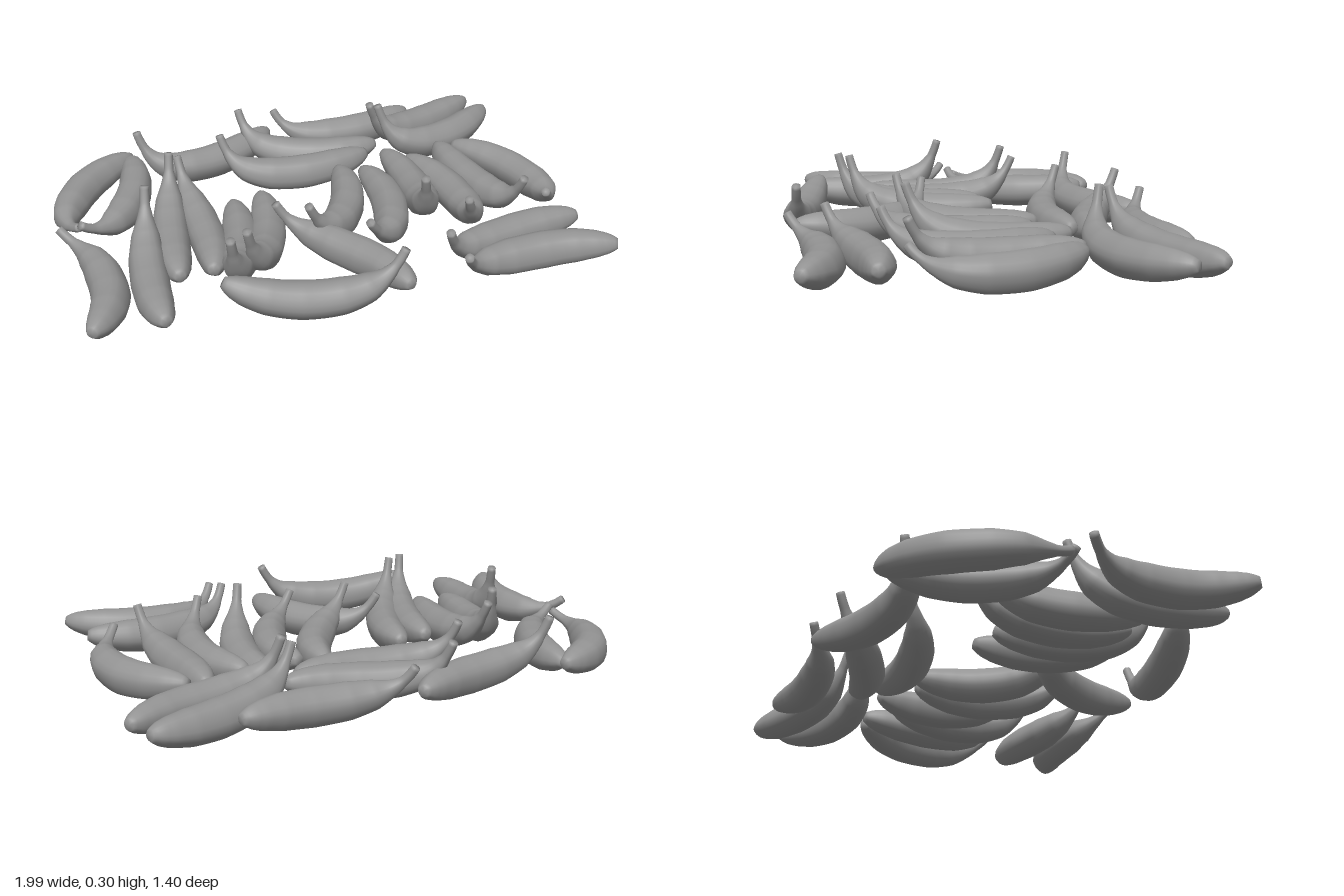
import * as THREE from 'three';
import { mergeVertices } from 'three/addons/utils/BufferGeometryUtils.js';

// One banana per row: stem x, z, stem height, middle x, z, tip x, z, tip height
const clusters = {
  backLeftGroup: [
    [-0.90, -0.09, 0.12, -0.86, -0.40, -0.59, -0.63],
    [-0.90, -0.07, 0.14, -0.68, -0.28, -0.60, -0.61],
    [-0.58, -0.54, 0.25, -0.31, -0.52, 0.01, -0.68],
  ],
  backRightGroup: [
    [0.04, -0.68, 0.19, 0.32, -0.60, 0.65, -0.67],
    [-0.13, -0.63, 0.24, 0.09, -0.46, 0.40, -0.41],
    [-0.27, -0.42, 0.24, -0.01, -0.31, 0.33, -0.34],
    [0.39, -0.45, 0.26, 0.68, -0.57, 0.95, -0.68],
    [0.41, -0.41, 0.27, 0.68, -0.40, 0.985, -0.57],
  ],
  sideGroup: [
    [-0.98, -0.05, 0.15, -0.87, 0.25, -0.98, 0.56],
    [-0.67, 0.01, 0.30, -0.73, 0.30, -0.74, 0.58],
    [-0.52, -0.24, 0.29, -0.59, 0.04, -0.63, 0.33],
    [-0.48, -0.28, 0.25, -0.46, 0.04, -0.51, 0.33],
    [-0.48, 0.45, 0.28, -0.37, 0.19, -0.31, -0.11],
    [-0.41, 0.41, 0.28, -0.26, 0.16, -0.19, -0.14],
  ],
  middleGroup: [
    [-0.22, 0.14, 0.21, 0.00, 0.34, 0.10, 0.65],
    [-0.13, 0.25, 0.24, 0.09, 0.05, 0.17, -0.24],
    [0.06, 0.37, 0.20, 0.25, 0.12, 0.26, -0.20],
    [0.32, 0.27, 0.28, 0.41, -0.02, 0.40, -0.31],
    [0.45, 0.37, 0.22, 0.54, 0.09, 0.47, -0.23],
    [0.71, 0.31, 0.23, 0.65, 0.01, 0.64, -0.30],
    [0.80, 0.32, 0.16, 0.87, 0.02, 0.70, -0.28],
  ],
  frontGroup: [
    [0.08, 0.64, 0.24, -0.25, 0.60, -0.53, 0.52, 0.17],
    [0.29, 0.55, 0.21, 0.56, 0.43, 0.88, 0.42],
    [0.30, 0.68, 0.18, 0.58, 0.57, 0.91, 0.66],
  ],
};

// Thickness from stem to blossom end
const profile = [[0, 0.016], [0.1, 0.018], [0.17, 0.030], [0.26, 0.051], [0.4, 0.065],
  [0.6, 0.068], [0.78, 0.062], [0.89, 0.050], [0.95, 0.038], [0.98, 0.028], [1, 0.019]];

function radiusAt(u) {
  let k = 0;
  while (k < profile.length - 2 && u > profile[k + 1][0]) k++;
  const [u0, r0] = profile[k], [u1, r1] = profile[k + 1];
  return THREE.MathUtils.lerp(r0, r1, (u - u0) / (u1 - u0));
}

// Centre line: bowed through the middle point, hooking sharply up at the stem
class BananaCurve extends THREE.Curve {
  constructor(row) {
    super();
    this.row = row;
  }
  getPoint(t, target = new THREE.Vector3()) {
    const [sx, sz, sy, mx, mz, tx, tz, ty = 0.1] = this.row;
    const bow = 1 - Math.abs(2 * t - 1) ** (t < 0.5 ? 2.8 : 2.2);
    const hook = 0.5 * (1 - t) ** 14 + 0.5 * (1 - t) ** 4;
    const rest = 0.068;
    return target.set(
      THREE.MathUtils.lerp(sx, tx, t) + bow * (mx - (sx + tx) / 2),
      rest + (sy - rest) * hook + (ty - rest) * t ** 3,
      THREE.MathUtils.lerp(sz, tz, t) + bow * (mz - (sz + tz) / 2),
    );
  }
}

// Tube swollen by the profile, softly five-sided, closed at both ends
function bananaGeometry(row) {
  const rings = 60, sides = 20;
  const curve = new BananaCurve(row);
  const geo = new THREE.TubeGeometry(curve, rings, 1, sides, false);
  const pos = geo.attributes.position;
  const v = new THREE.Vector3();
  for (let i = 0; i <= rings; i++) {
    const oldCentre = curve.getPointAt(i / rings);
    const u = THREE.MathUtils.clamp((i - 1) / (rings - 2), 0, 1);
    const centre = curve.getPointAt(u);
    const r = i === 0 || i === rings ? 0 : radiusAt(u);
    for (let j = 0; j <= sides; j++) {
      const n = i * (sides + 1) + j;
      const ridge = 1 + 0.03 * Math.cos(5 * (j / sides) * Math.PI * 2);
      v.fromBufferAttribute(pos, n).sub(oldCentre).multiplyScalar(r * ridge).add(centre);
      pos.setXYZ(n, v.x, v.y, v.z);
    }
  }
  geo.deleteAttribute('normal');
  geo.deleteAttribute('uv');
  const merged = mergeVertices(geo, 1e-5);
  merged.computeVertexNormals();
  return merged;
}

export function createModel() {
  const model = new THREE.Group();
  model.name = 'bananas';
  const material = new THREE.MeshStandardMaterial({ color: 0x949494 });
  for (const [name, rows] of Object.entries(clusters)) {
    const group = new THREE.Group();
    group.name = name;
    rows.forEach((row) => {
      const banana = new THREE.Mesh(bananaGeometry(row), material);
      banana.name = 'banana';
      group.add(banana);
    });
    model.add(group);
  }
  return model;
}
